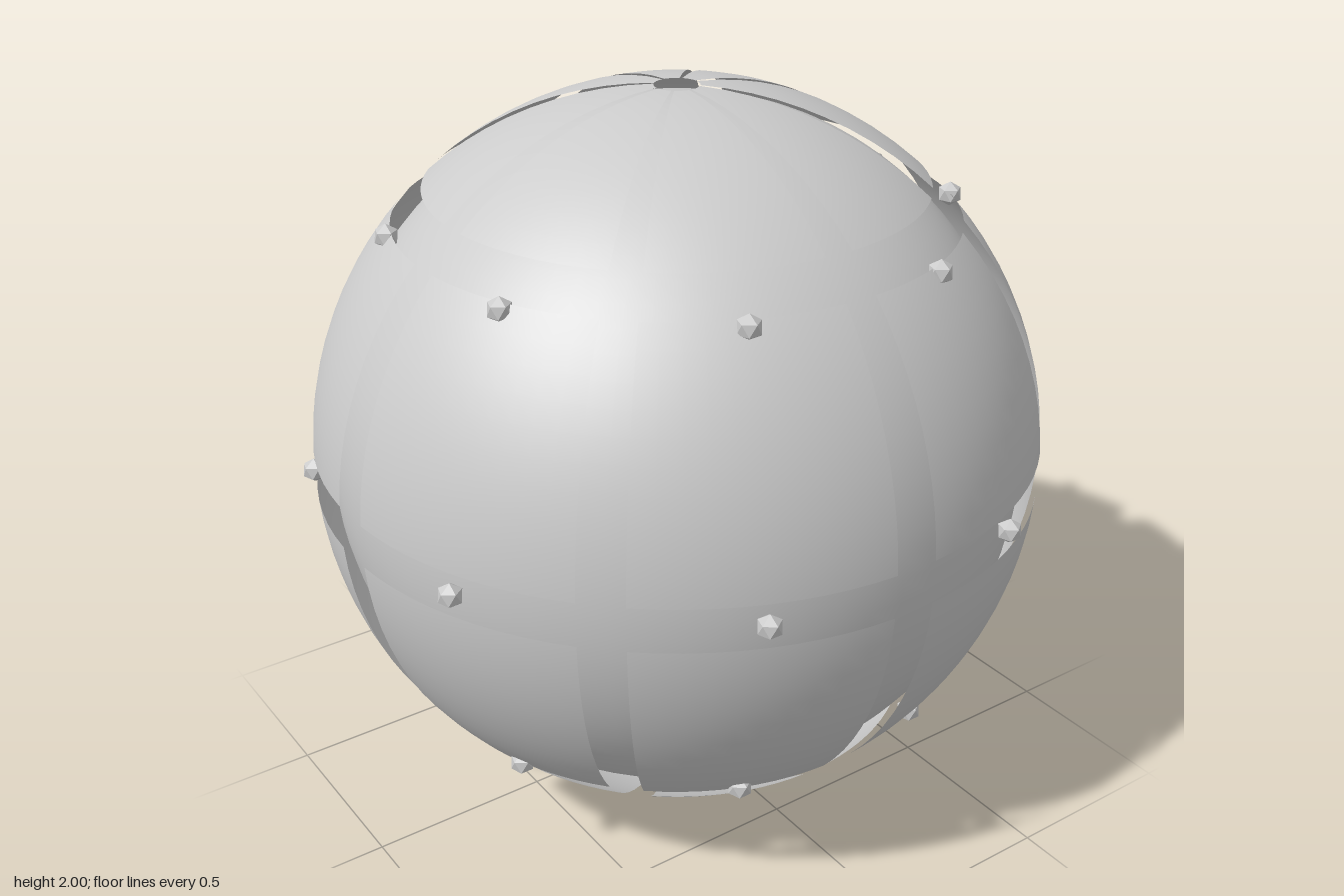
import * as THREE from 'three';

const R = 1.0018;      // panel shell radius
const CORE = 0.953;    // inner sphere radius
const GAP = 0.06;      // half the gap between panels, in radians
const COLS = 8;
const ROWS = 4;

export function createModel() {
  const model = new THREE.Group();
  const smooth = new THREE.MeshStandardMaterial({ color: 0xcccccc });
  const thin = new THREE.MeshStandardMaterial({ color: 0xcccccc, side: THREE.DoubleSide });
  const faceted = new THREE.MeshStandardMaterial({ color: 0xcccccc, flatShading: true });

  // Everything is built about the sphere's centre, one unit above the ground
  const ball = new THREE.Group();
  ball.name = 'ball';
  ball.position.y = 1;
  model.add(ball);

  // Solid sphere seen through the gaps
  const core = new THREE.Mesh(new THREE.SphereGeometry(CORE, 64, 48), smooth);
  core.name = 'core';
  ball.add(core);

  // Thin curved panels: four rows of eight, separated by even angular gaps
  const dPhi = (Math.PI * 2) / COLS;
  const dTheta = Math.PI / ROWS;
  const panels = new THREE.Group();
  panels.name = 'panels';
  for (let row = 0; row < ROWS; row++) {
    const geometry = new THREE.SphereGeometry(
      R, 10, 10, GAP, dPhi - 2 * GAP, row * dTheta + GAP, dTheta - 2 * GAP);
    for (let col = 0; col < COLS; col++) {
      const panel = new THREE.Mesh(geometry, thin);
      panel.name = 'panel';
      panel.rotation.y = col * dPhi;
      panels.add(panel);
    }
  }
  ball.add(panels);

  // Small faceted studs in three rings, one per panel column
  const studGeometry = new THREE.IcosahedronGeometry(0.034, 0);
  studGeometry.rotateX(-Math.atan((1 + Math.sqrt(5)) / 2)); // a corner points up
  const studs = new THREE.Group();
  studs.name = 'studs';
  for (const y of [-0.65, 0, 0.65]) {
    const ring = Math.sqrt(1 - y * y);
    for (let col = 0; col < COLS; col++) {
      const a = (col + 0.5) * dPhi;
      const stud = new THREE.Mesh(studGeometry, faceted);
      stud.name = 'stud';
      stud.position.set(ring * Math.cos(a), y, ring * Math.sin(a)).multiplyScalar(R);
      studs.add(stud);
    }
  }
  ball.add(studs);

  return model;
}
